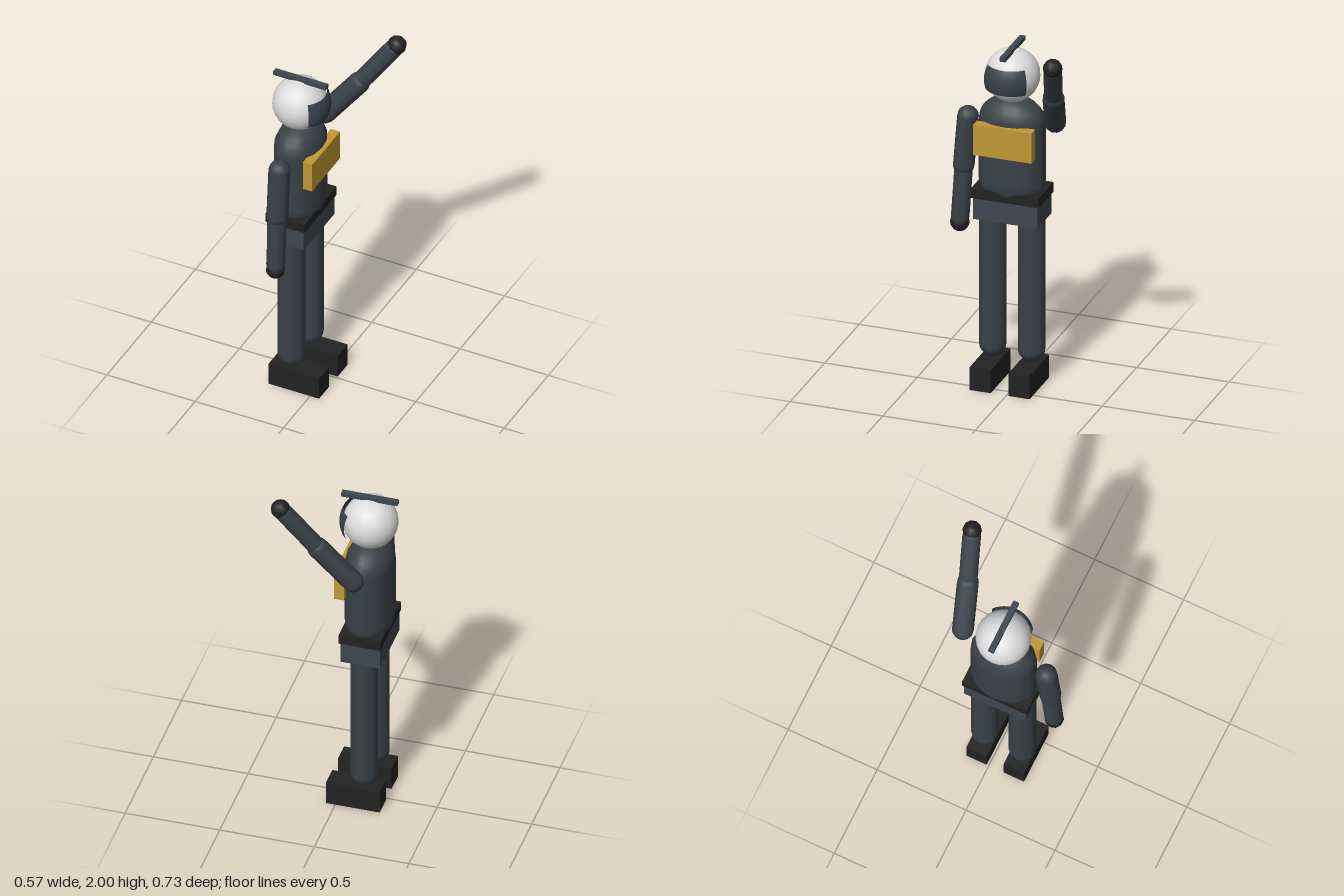
import * as THREE from 'three';

const CX = -0.135, CZ = 0.036; // body axis; the figure faces +x

export function createModel() {
  const root = new THREE.Group();
  root.name = 'wavingFigure';

  const material = (name, color) => {
    const m = new THREE.MeshStandardMaterial({ color });
    m.name = name;
    return m;
  };
  const suit = material('suitCharcoal', 0x3a4147);
  const trim = material('trimSlate', 0x3d464f);
  const black = material('leatherBlack', 0x222222);
  const gold = material('plateGold', 0xc19834);
  const white = material('helmetWhite', 0xdcdcdc);
  const visorGlass = material('visorDark', 0x38414a);
  visorGlass.side = THREE.DoubleSide;

  const add = (name, geometry, mat, x, y, z, parent = root) => {
    const mesh = new THREE.Mesh(geometry, mat);
    mesh.name = name;
    mesh.position.set(x, y, z);
    parent.add(mesh);
    return mesh;
  };
  const box = (name, mat, w, h, d, x, y, z) =>
    add(name, new THREE.BoxGeometry(w, h, d), mat, x, y, z);

  // Capsule whose end-cap centres sit on two given points
  const limb = (name, a, b, r, parent) => {
    const dir = b.clone().sub(a);
    const mid = a.clone().add(b).multiplyScalar(0.5);
    const mesh = add(name, new THREE.CapsuleGeometry(r, dir.length(), 6, 12), suit, mid.x, mid.y, mid.z, parent);
    mesh.quaternion.setFromUnitVectors(new THREE.Vector3(0, 1, 0), dir.normalize());
  };

  // Torso: capsule widened across the shoulders
  const torso = add('torso', new THREE.CapsuleGeometry(0.125, 0.29, 8, 16), suit, CX, 1.288, CZ);
  torso.scale.set(1, 1.12, 1.42);

  // Belt, hips and chest plate
  box('belt', black, 0.221, 0.052, 0.366, CX + 0.002, 1.062, CZ);
  box('hips', trim, 0.208, 0.12, 0.348, CX, 0.977, CZ);
  box('chestPlate', gold, 0.053, 0.168, 0.315, -0.017, 1.378, CZ);

  // Helmet with a wraparound visor and a crest bar
  add('helmet', new THREE.SphereGeometry(0.142, 24, 16), white, CX - 0.003, 1.705, CZ);
  const visorGeo = new THREE.SphereGeometry(0.153, 16, 8, Math.PI - 0.855, 1.71, 1.043, 0.93);
  add('visor', visorGeo, visorGlass, CX + 0.003, 1.705, CZ);
  box('crest', trim, 0.297, 0.022, 0.031, CX, 1.849, CZ - 0.001);

  // Legs and boots
  for (const [side, s] of [['left', -1], ['right', 1]]) {
    const z = CZ + s * 0.105;
    limb(side + 'Leg', new THREE.Vector3(CX, 0.198, z), new THREE.Vector3(CX, 0.92, z), 0.071);
    box(side + 'Boot', black, 0.285, 0.127, 0.114, -0.092, 0.0635, z);
  }

  // Arms: shoulder, elbow and hand points; one hangs, one is raised
  const arms = {
    lowered: [[CX, 1.435, 0.276], [CX, 1.165, 0.298], [CX, 0.84, 0.32]],
    raised: [[-0.115, 1.487, -0.203], [0.052, 1.7, -0.256], [0.233, 1.953, -0.319]],
  };
  for (const [pose, points] of Object.entries(arms)) {
    const arm = new THREE.Group();
    arm.name = pose + 'Arm';
    root.add(arm);
    const [shoulder, elbow, hand] = points.map((p) => new THREE.Vector3(...p));
    limb('upperArm', shoulder, elbow, 0.056, arm);
    limb('forearm', elbow, elbow.clone().lerp(hand, 0.9), 0.048, arm);
    add('hand', new THREE.SphereGeometry(0.05, 10, 8), black, hand.x, hand.y, hand.z, arm);
  }

  return root;
}
